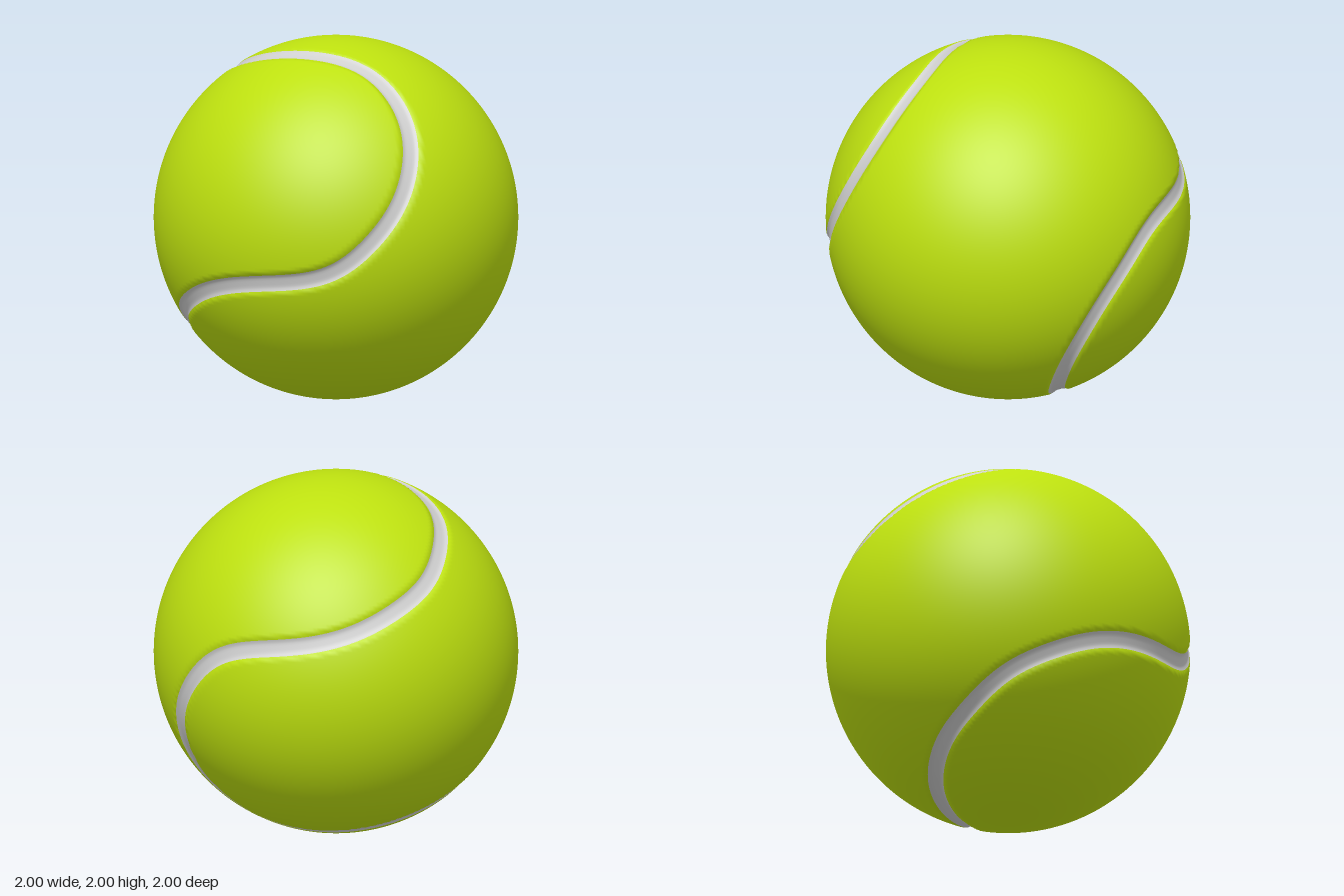
import * as THREE from 'three';
import { mergeVertices } from 'three/addons/utils/BufferGeometryUtils.js';

const SAMPLES = 480;
const HALF_WIDTH = 0.047;

// Closed seam line on the unit sphere: half is listed, half is its turn about an axis
function seamLine() {
  const half = [
    [0.455, -0.237, 0.858], [0.70, -0.18, 0.69], [0.85, 0, 0.525], [0.905, 0.2, 0.375],
    [0.875, 0.4, 0.265], [0.79, 0.58, 0.195], [0.64, 0.75, 0.172], [0.43, 0.88, 0.195],
    [0.16, 0.94, 0.302], [0, 0.94, 0.35], [-0.2, 0.905, 0.375], [-0.5, 0.80, 0.31],
    [-0.72, 0.68, 0.14], [-0.84, 0.54, -0.06], [-0.843, 0.404, -0.355],
    [-0.773, 0.322, -0.546], [-0.618, 0.263, -0.741],
  ].map((p) => new THREE.Vector3(...p).normalize());
  const axis = new THREE.Vector3(-0.885, 0.02, 0.465).normalize();
  const turned = half.map((p) => p.clone().applyAxisAngle(axis, Math.PI));
  const curve = new THREE.CatmullRomCurve3([...half, ...turned], true, 'centripetal');
  curve.arcLengthDivisions = 1000;
  const raw = curve.getSpacedPoints(SAMPLES).slice(0, SAMPLES);
  // Running average to keep the sweep fair
  return raw.map((_, i) => {
    const sum = new THREE.Vector3();
    for (let k = -8; k <= 8; k++) sum.add(raw[(i + k + SAMPLES) % SAMPLES]);
    return sum.normalize();
  });
}

// Sphere with a shallow channel pressed in along the seam
function ballGeometry(line) {
  let geo = new THREE.SphereGeometry(1, 240, 160);
  geo.deleteAttribute('uv');
  geo.deleteAttribute('normal');
  geo = mergeVertices(geo, 1e-5);
  const pos = geo.attributes.position;
  const v = new THREE.Vector3();
  for (let i = 0; i < pos.count; i++) {
    v.fromBufferAttribute(pos, i).normalize();
    let nearest = 9;
    for (const p of line) nearest = Math.min(nearest, v.distanceToSquared(p));
    const depth = 0.025 * (1 - THREE.MathUtils.smoothstep(Math.sqrt(nearest), 0.03, 0.058));
    v.multiplyScalar(1 - depth);
    pos.setXYZ(i, v.x, v.y, v.z);
  }
  geo.computeVertexNormals();
  return geo;
}

// Slightly hollow ribbon lying in the channel
function seamGeometry(line) {
  const cols = 8;
  const positions = [];
  const index = [];
  for (let i = 0; i < SAMPLES; i++) {
    const n = line[i];
    const tangent = line[(i + 1) % SAMPLES].clone().sub(line[(i + SAMPLES - 1) % SAMPLES]);
    const side = n.clone().cross(tangent).normalize();
    for (let j = 0; j <= cols; j++) {
      const u = (j / cols) * 2 - 1;
      const p = n.clone().addScaledVector(side, u * HALF_WIDTH);
      p.setLength(0.986 + 0.011 * u ** 4);
      positions.push(p.x, p.y, p.z);
      if (j < cols) {
        const a = i * (cols + 1) + j;
        const b = ((i + 1) % SAMPLES) * (cols + 1) + j;
        index.push(a, b, b + 1, a, b + 1, a + 1);
      }
    }
  }
  const geo = new THREE.BufferGeometry();
  geo.setAttribute('position', new THREE.Float32BufferAttribute(positions, 3));
  geo.setIndex(index);
  geo.computeVertexNormals();
  return geo;
}

export function createModel() {
  const felt = new THREE.MeshStandardMaterial({ color: 0xbde00f });
  felt.name = 'yellow green felt';
  const rubber = new THREE.MeshStandardMaterial({ color: 0xd0d0d0 });
  rubber.name = 'light grey rubber';

  const line = seamLine();
  const ball = new THREE.Mesh(ballGeometry(line), felt);
  ball.name = 'ball';
  const seam = new THREE.Mesh(seamGeometry(line), rubber);
  seam.name = 'seam';

  const model = new THREE.Group();
  model.name = 'tennisBall';
  model.add(ball, seam);
  for (const part of model.children) part.position.y = 1;
  return model;
}
